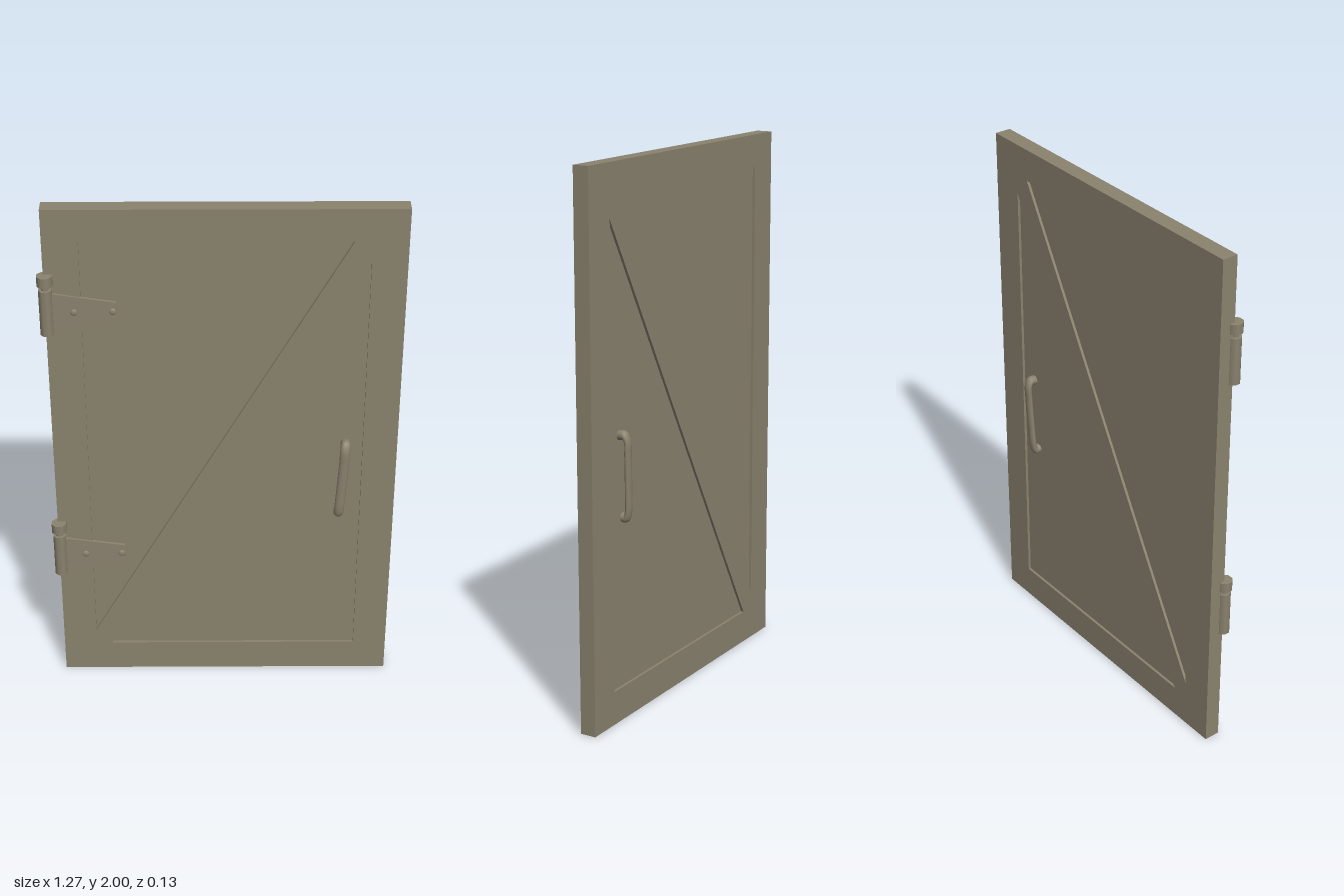
import * as THREE from 'three';

export function createModel() {
  const door = new THREE.Group();
  door.name = 'door';
  const material = new THREE.MeshStandardMaterial({ color: 0x8a826e });
  material.name = 'weathered taupe';

  const add = (parent, name, geometry, x = 0, y = 0, z = 0) => {
    const mesh = new THREE.Mesh(geometry, material);
    mesh.name = name;
    mesh.position.set(x, y, z);
    parent.add(mesh);
    return mesh;
  };
  const points = (list) => list.map(([x, y]) => new THREE.Vector2(x, y));
  const prism = (radius, height) =>
    new THREE.CylinderGeometry(radius, radius, height, 8).rotateY(Math.PI / 8).toNonIndexed();

  // Frame with a diagonal brace left between two triangular openings
  const frame = new THREE.Shape(points([[-0.615, 0], [0.635, 0], [0.635, 2], [-0.615, 2]]));
  frame.holes.push(
    new THREE.Path(points([[-0.49, 1.88], [0.45, 1.88], [-0.49, 0.19]])),
    new THREE.Path(points([[-0.43, 0.125], [0.51, 1.81], [0.51, 0.125]])),
  );
  add(door, 'frame', new THREE.ExtrudeGeometry(frame, { depth: 0.06, bevelEnabled: false }), 0, 0, -0.03);

  // Recessed panel filling the openings
  add(door, 'panel', new THREE.BoxGeometry(1.1, 1.85, 0.04), 0.01, 1.0, 0);

  // Strap hinges: barrel, pin, cap, tapered leaf and two rivets
  const leafShape = new THREE.Shape(points([
    [0, -0.07], [0.23, -0.037], [0.23, 0.035], [0, 0.075],
  ]));
  for (const [name, y] of [['upperHinge', 1.61], ['lowerHinge', 0.565]]) {
    const hinge = new THREE.Group();
    hinge.name = name;
    hinge.position.set(-0.61, y, 0.037);
    door.add(hinge);
    add(hinge, 'barrel', prism(0.025, 0.175), 0, 0.003);
    add(hinge, 'pin', prism(0.014, 0.04), 0, 0.1);
    add(hinge, 'cap', prism(0.029, 0.038), 0, 0.126);

    const leaf = new THREE.Group();
    leaf.name = 'leaf';
    leaf.position.set(0.012, 0, -0.008);
    leaf.rotation.y = 0.035;
    hinge.add(leaf);
    add(leaf, 'strap', new THREE.ExtrudeGeometry(leafShape, { depth: 0.011, bevelEnabled: false }));
    for (const x of [0.083, 0.218]) {
      const rivet = new THREE.SphereGeometry(0.013, 12, 6, 0, Math.PI * 2, 0, Math.PI / 2);
      add(leaf, 'rivet', rivet.rotateX(Math.PI / 2).scale(1, 1, 0.4), x, 0, 0.011);
    }
  }

  // Slightly tilted pull handles on both faces
  const flatten = 0.6;
  for (const [name, side] of [['frontHandle', 1], ['backHandle', -1]]) {
    const path = new THREE.CatmullRomCurve3([
      [0.447, 1.054, 0.02], [0.447, 1.054, 0.042], [0.445, 1.035, 0.052], [0.443, 0.98, 0.052],
      [0.436, 0.85, 0.049], [0.432, 0.78, 0.046], [0.431, 0.755, 0.039], [0.431, 0.753, 0.02],
    ].map(([x, y, z]) => new THREE.Vector3(x, y, side * z / flatten)));
    const grip = new THREE.TubeGeometry(path, 48, 0.018, 12);
    add(door, name, grip.scale(1, 1, flatten));
  }

  return door;
}
